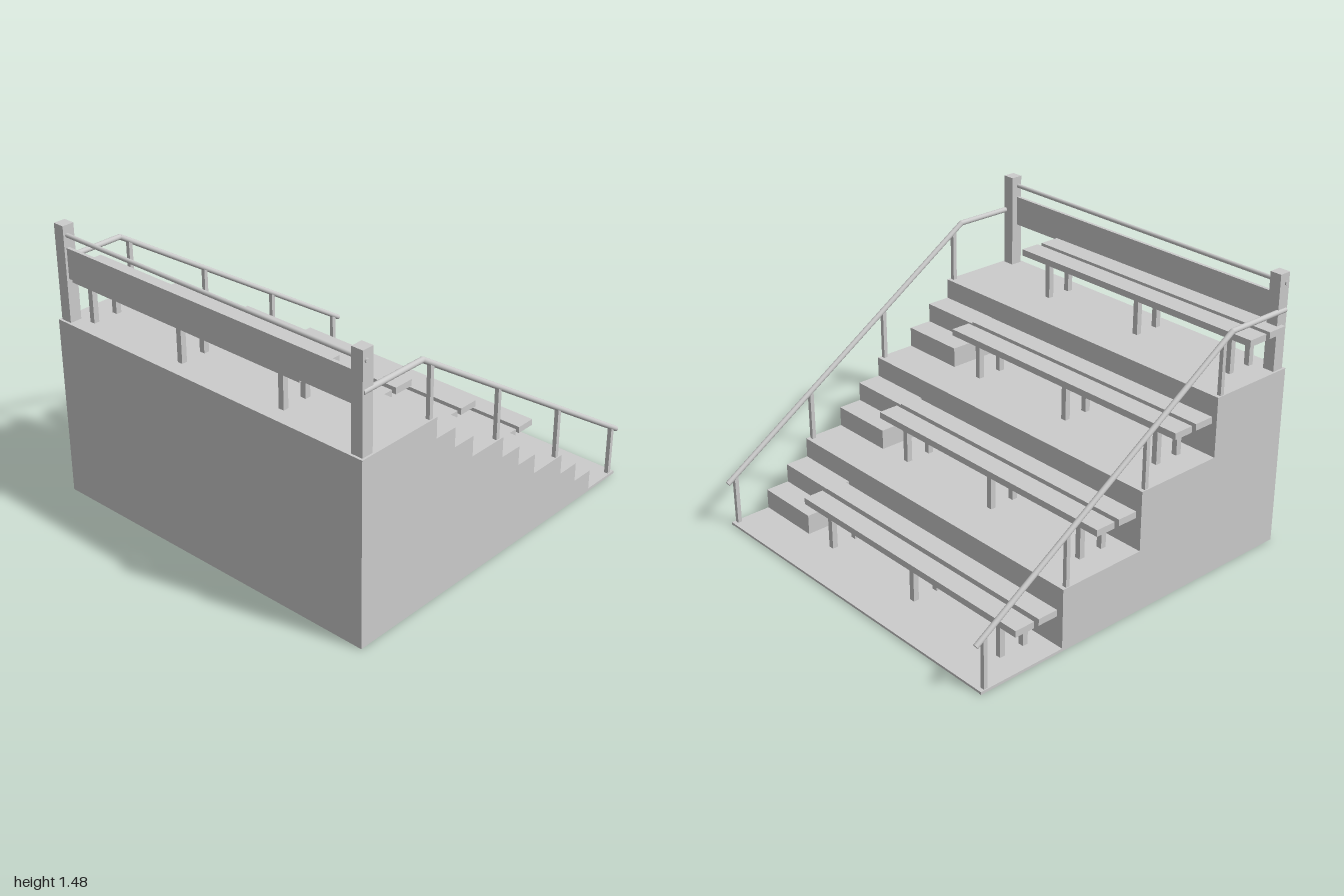
import * as THREE from 'three';

const mat = new THREE.MeshStandardMaterial({ color: 0xcccccc });
const RUN = 0.495, RISE = 0.3183, T = 0.012;
const BACK = -1, FRONT = 0.975, Z0 = -0.978, Z1 = 0.985;

// Tier 0 is the lowest deck, tier 3 the top landing
const tierY = i => 0.015 + RISE * i;
const tierX = i => 0.48 - RUN * i; // rear edge of a deck, where the next riser stands

export function createModel() {
  const group = new THREE.Group();

  const add = (name, geo) => {
    const mesh = new THREE.Mesh(geo, mat);
    mesh.name = name;
    group.add(mesh);
    return mesh;
  };
  const box = (name, x0, x1, y0, y1, z0, z1) =>
    add(name, new THREE.BoxGeometry(x1 - x0, y1 - y0, z1 - z0))
      .position.set((x0 + x1) / 2, (y0 + y1) / 2, (z0 + z1) / 2);
  const extrude = (name, pts, z0, z1) => {
    const shape = new THREE.Shape(pts.map(p => new THREE.Vector2(...p)));
    add(name, new THREE.ExtrudeGeometry(shape, { depth: z1 - z0, bevelEnabled: false }))
      .position.z = z0;
  };
  const rod = (name, a, b, r) => {
    const d = b.clone().sub(a);
    const mesh = add(name, new THREE.CylinderGeometry(r, r, d.length(), 16));
    mesh.position.copy(a).addScaledVector(d, 0.5);
    mesh.quaternion.setFromUnitVectors(new THREE.Vector3(0, 1, 0), d.normalize());
  };

  // Stepped outline, front to back
  const steps = [[FRONT, tierY(0)]];
  for (let i = 0; i < 3; i++) steps.push([tierX(i), tierY(i)], [tierX(i), tierY(i + 1)]);
  steps.push([BACK, tierY(3)]);

  // Hollow shell: side walls, back wall and folded deck, open underneath
  const side = [[BACK, 0], [FRONT, 0], ...steps];
  extrude('leftSideWall', side, Z1 - T, Z1);
  extrude('rightSideWall', side, Z0, Z0 + T);
  box('backWall', BACK, BACK + T, 0, tierY(3) - T, Z0 + T, Z1 - T);
  const under = steps.map(([x, y], i) => [i === 0 || i === 7 ? x : x - T, y - T]).reverse();
  extrude('steppedDeck', [...steps, ...under], Z0 + T, Z1 - T);

  // Aisle steps, two on each of the lower decks
  for (let i = 0; i < 3; i++) {
    const x = tierX(i), y = tierY(i);
    extrude('aisleSteps', [
      [x, y], [x + 0.265, y], [x + 0.265, y + 0.107],
      [x + 0.132, y + 0.107], [x + 0.132, y + 0.21], [x, y + 0.21],
    ], 0.62, Z1);
  }

  // Benches: two planks on short legs per tier
  for (let i = 0; i < 4; i++) {
    const y = tierY(i);
    for (const off of [0.105, 0.245]) {
      const x = tierX(i) + off;
      box('benchPlank', x - 0.056, x + 0.056, y + 0.205, y + 0.24, -0.99, 0.59);
      for (const z of [0.437, -0.21, -0.828])
        box('benchLeg', x - 0.015, x + 0.015, y - T - 0.001, y + 0.205, z - 0.015, z + 0.015);
    }
  }

  // Sloping handrails with one upright per tier
  for (const z of [0.967, -0.962]) {
    const a = new THREE.Vector3(-0.98, 1.28, z);
    const b = new THREE.Vector3(-0.6, 1.28, z);
    const c = new THREE.Vector3(0.99, 0.255, z);
    rod('handrailLevel', a, b, 0.014);
    rod('handrailSlope', b, c, 0.014);
    const elbow = add('handrailElbow', new THREE.SphereGeometry(0.014, 16, 10));
    elbow.position.copy(b);
    for (let i = 0; i < 4; i++) {
      const x = 0.942 - RUN * i;
      const top = 1.28 - (x + 0.6) * (1.025 / 1.59);
      box('handrailPost', x - 0.011, x + 0.011, tierY(i), top, z - 0.011, z + 0.011);
    }
  }

  // Rear guard: corner posts down to the ground, panel and top bar
  for (const z of [0.942, -0.935])
    box('cornerPost', -0.987, -0.922, 0, 1.475, z - 0.032, z + 0.032);
  box('backPanel', -0.974, -0.956, 1.2, 1.36, -0.905, 0.912);
  rod('topBar', new THREE.Vector3(-0.965, 1.423, -0.975), new THREE.Vector3(-0.965, 1.423, 0.982), 0.011);

  return group;
}
